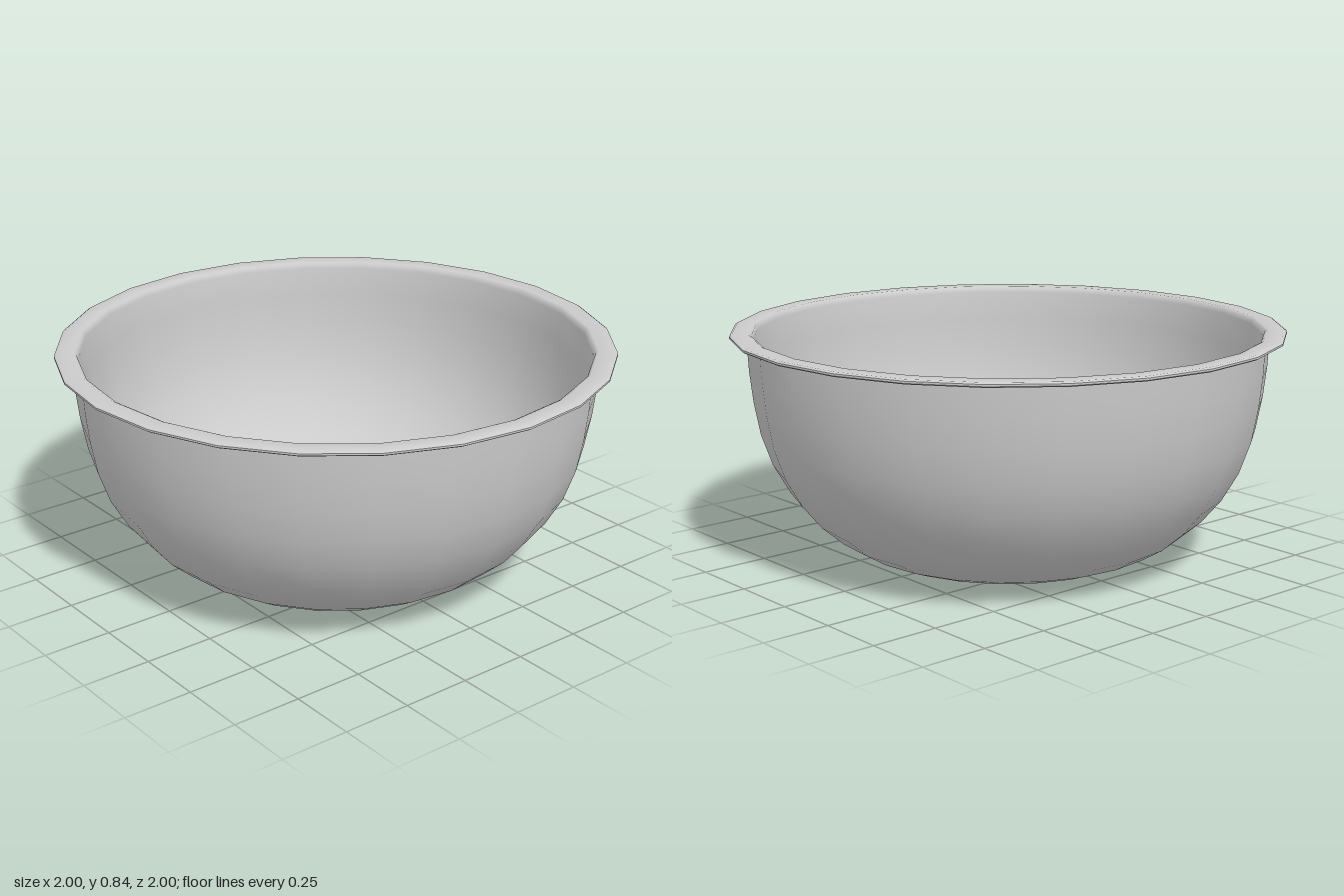
import * as THREE from 'three';
import { toCreasedNormals } from 'three/addons/utils/BufferGeometryUtils.js';

const SIDES = 24;

export function createModel() {
  const model = new THREE.Group();
  model.name = 'mixingBowl';
  const material = new THREE.MeshStandardMaterial({ color: 0xcccccc });

  // Outer wall, from the middle of the base up to the underside of the rim
  const outer = [
    [0, 0], [0.27, 0.003], [0.42, 0.012], [0.5, 0.028], [0.57, 0.056], [0.65, 0.105],
    [0.73, 0.175], [0.8, 0.26], [0.86, 0.365], [0.9, 0.48], [0.922, 0.6], [0.934, 0.71], [0.94, 0.826],
  ];
  // Flat flange with a softly rounded edge
  const rim = [[0.992, 0.826], [1, 0.831], [1, 0.838], [0.992, 0.843], [0.932, 0.843], [0.922, 0.838]];
  // Inner wall, back down to the middle of the base
  const inner = [
    [0.917, 0.82], [0.91, 0.71], [0.898, 0.6], [0.876, 0.485], [0.837, 0.375], [0.78, 0.275],
    [0.712, 0.193], [0.635, 0.126], [0.558, 0.078], [0.492, 0.051], [0.415, 0.035], [0.27, 0.026], [0, 0.023],
  ];

  const profile = [...outer, ...rim, ...inner].map(([r, y]) => new THREE.Vector2(r, y));
  const geometry = toCreasedNormals(new THREE.LatheGeometry(profile, SIDES), 0.9);
  const bowl = new THREE.Mesh(geometry, material);
  bowl.name = 'bowl';
  model.add(bowl);
  return model;
}
